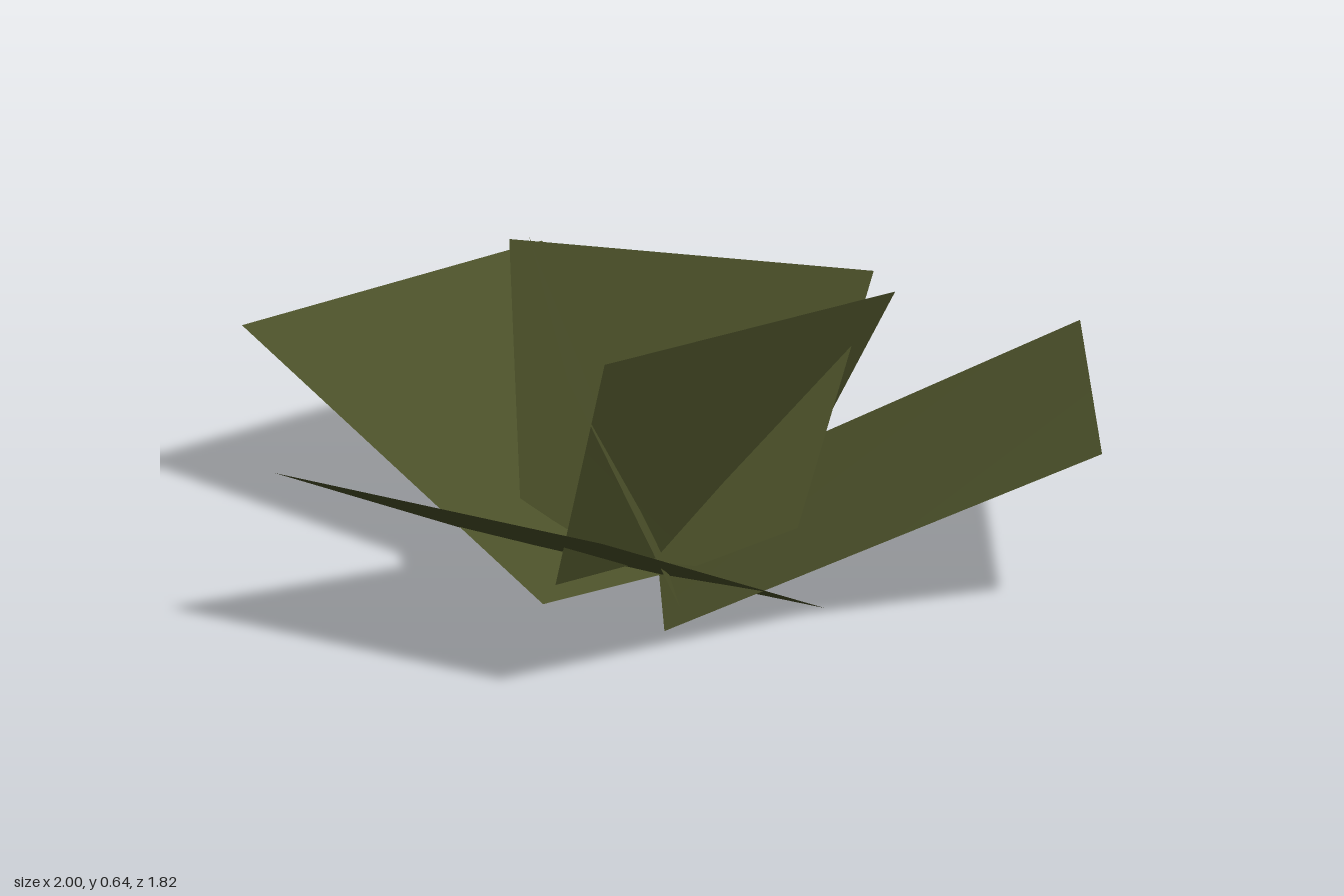
import * as THREE from 'three';

const leafGreen = new THREE.MeshStandardMaterial({ color: 0x4b5029, side: THREE.DoubleSide });
leafGreen.name = 'olive leaf green';

// One flat leaf blade from its four corners: base left, base right, tip right, tip left
function leaf(name, corners) {
  const geometry = new THREE.BufferGeometry();
  geometry.setAttribute('position', new THREE.Float32BufferAttribute(corners.flat(), 3));
  geometry.setAttribute('uv', new THREE.Float32BufferAttribute([0, 0, 1, 0, 1, 1, 0, 1], 2));
  geometry.setIndex([0, 1, 2, 0, 2, 3]);
  geometry.computeVertexNormals();
  const mesh = new THREE.Mesh(geometry, leafGreen);
  mesh.name = name;
  return mesh;
}

export function createModel() {
  const plant = new THREE.Group();
  plant.name = 'leafyPlant';

  // Wide, low outer leaves: each base crosses the centre at ground level
  const outer = new THREE.Group();
  outer.name = 'outerLeaves';
  outer.add(
    leaf('frontOuterLeaf', [[-0.345, 0, -0.105], [0.385, 0, 0.115], [0.09, 0.4, 0.905], [-0.705, 0.4, 0.645]]),
    leaf('leftOuterLeaf', [[0.085, 0, 0.34], [-0.13, 0, -0.408], [0.742, 0.4, -0.714], [0.995, 0.4, 0.093]]),
    leaf('rightOuterLeaf', [[0.275, 0, -0.345], [-0.21, 0, 0.24], [-1.0, 0.4, -0.238], [-0.504, 0.4, -0.912]])
  );

  // Steep inner leaves, narrower at the base and passing through one another
  const inner = new THREE.Group();
  inner.name = 'innerLeaves';
  inner.add(
    leaf('backInnerLeaf', [[-0.32, 0.04, -0.01], [0.27, 0.03, 0.03], [0.397, 0.64, -0.265], [-0.43, 0.615, -0.333]]),
    leaf('rightInnerLeaf', [[0.1, 0.03, 0.265], [-0.115, 0.04, -0.3], [-0.375, 0.64, -0.29], [-0.09, 0.615, 0.495]]),
    leaf('leftInnerLeaf', [[0.165, 0.03, -0.265], [-0.18, 0.05, 0.25], [-0.018, 0.643, 0.458], [0.455, 0.612, -0.225]])
  );

  plant.add(outer, inner);
  return plant;
}
